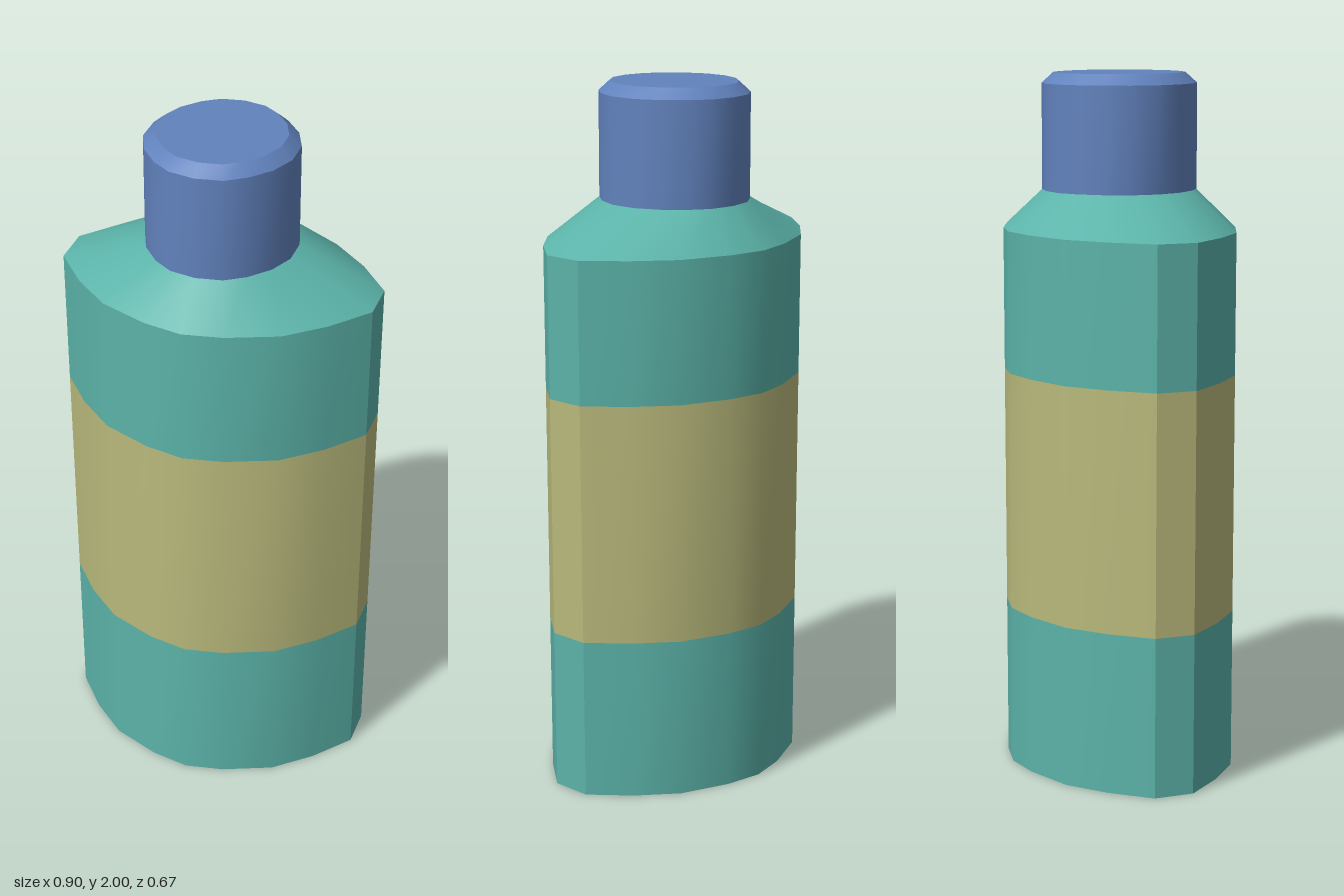
import * as THREE from 'three';
import { toCreasedNormals } from 'three/addons/utils/BufferGeometryUtils.js';

const material = (name, color) => new THREE.MeshStandardMaterial({ name, color });

// Quarter outlines as [x, z], from the front centre to the side
const BODY = [[0, 0.333], [0.113, 0.312], [0.255, 0.255], [0.36, 0.165], [0.45, 0.058]];
const CAP = [[0, 0.22], [0.075, 0.207], [0.13, 0.17], [0.18, 0.112], [0.21, 0.041]];

// Mirror a quarter outline into a closed 18-point ring
function ring(quarter, y, sx = 1, sz = 1) {
  const rest = quarter.slice(1);
  return [
    ...quarter,
    ...[...quarter].reverse().map(([x, z]) => [x, -z]),
    ...rest.map(([x, z]) => [-x, -z]),
    ...rest.reverse().map(([x, z]) => [-x, z]),
  ].map(([x, z]) => [x * sx, y, z * sz]);
}

// Skin a stack of rings, optionally closing the ends
function loft(name, mat, rings, { bottom = false, top = false } = {}) {
  const n = rings[0].length;
  const index = [];
  for (let r = 0; r < rings.length - 1; r++) {
    for (let i = 0; i < n; i++) {
      const a = r * n + i, b = r * n + (i + 1) % n;
      index.push(a, b, b + n, a, b + n, a + n);
    }
  }
  const last = (rings.length - 1) * n;
  for (let i = 1; i < n - 1; i++) {
    if (bottom) index.push(0, i + 1, i);
    if (top) index.push(last, last + i, last + i + 1);
  }
  const geometry = new THREE.BufferGeometry();
  geometry.setAttribute('position', new THREE.Float32BufferAttribute(rings.flat(2), 3));
  geometry.setIndex(index);
  const mesh = new THREE.Mesh(toCreasedNormals(geometry, THREE.MathUtils.degToRad(35)), mat);
  mesh.name = name;
  return mesh;
}

export function createModel() {
  const teal = material('teal plastic', 0x5bb3a9);
  const sand = material('sand label', 0xb9b97c);
  const blue = material('blue cap', 0x6182bd);

  // The body widens slightly towards the shoulder
  const bodyRing = (y) => ring(BODY, y, 0.98 + 0.02 * y / 1.56);

  const model = new THREE.Group();
  model.name = 'bottle';
  model.add(
    loft('lowerBody', teal, [bodyRing(0), bodyRing(0.465)], { bottom: true }),
    loft('labelBand', sand, [bodyRing(0.465), bodyRing(1.155)]),
    loft('upperBodyAndShoulder', teal, [bodyRing(1.155), bodyRing(1.56), ring(CAP, 1.67)]),
    loft('cap', blue, [ring(CAP, 1.67), ring(CAP, 1.97), ring(CAP, 2, 0.84, 0.85)], { top: true }),
  );
  return model;
}
